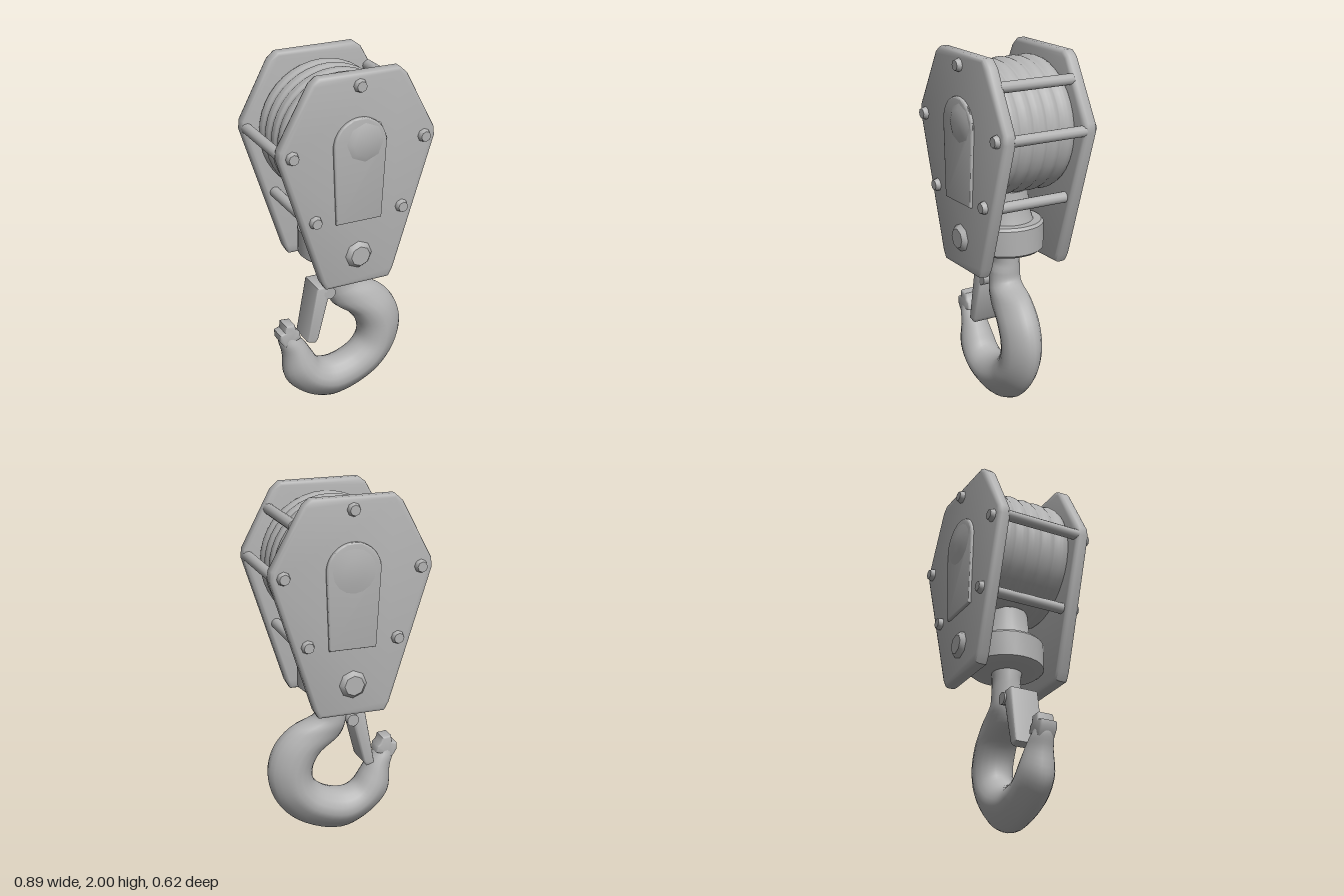
import * as THREE from 'three';
import { toCreasedNormals } from 'three/addons/utils/BufferGeometryUtils.js';

const steel = new THREE.MeshStandardMaterial({ color: 0xb2b2b2 });
steel.name = 'grey steel';

const v2 = (pts) => pts.map(([x, y]) => new THREE.Vector2(x, y));

function add(parent, name, geometry, x = 0, y = 0, z = 0) {
  const mesh = new THREE.Mesh(geometry, steel);
  mesh.name = name;
  mesh.position.set(x, y, z);
  parent.add(mesh);
}

// Bevelled slab with its total depth centred on z = 0
function slab(shape, depth, bevel) {
  const geo = new THREE.ExtrudeGeometry(shape, {
    depth: depth - 2 * bevel, bevelThickness: bevel, bevelSize: bevel,
    bevelOffset: -bevel, bevelSegments: 2, curveSegments: 12,
  });
  geo.translate(0, 0, bevel - depth / 2);
  return toCreasedNormals(geo, 0.9);
}

// Cylinder lying along z; r1 is the radius at the +z end
function rod(r1, r2, length, sides) {
  const geo = new THREE.CylinderGeometry(r1, r2, length, sides);
  geo.rotateX(Math.PI / 2);
  return toCreasedNormals(geo, 0.8);
}

// Loft through stations [innerX, innerY, outerX, outerY, halfDepth, centreZ, outerTaper]
function hookGeometry(stations, steps = 60, sides = 20) {
  const curve = (f) => new THREE.CatmullRomCurve3(stations.map(f), false, 'centripetal');
  const inner = curve((s) => new THREE.Vector3(s[0], s[1], 0));
  const outer = curve((s) => new THREE.Vector3(s[2], s[3], 0));
  const section = curve((s) => new THREE.Vector3(s[6], s[4], s[5]));
  const pos = [], index = [];
  for (let i = 0; i <= steps; i++) {
    const a = inner.getPoint(i / steps), b = outer.getPoint(i / steps), d = section.getPoint(i / steps);
    const c = a.clone().add(b).multiplyScalar(0.5), u = b.clone().sub(c);
    for (let j = 0; j < sides; j++) {
      const t = (j / sides) * Math.PI * 2, k = Math.cos(t);
      const wedge = 1 - d.x * Math.max(0, k);
      pos.push(c.x + u.x * k, c.y + u.y * k, d.z + d.y * Math.sin(t) * wedge);
    }
  }
  for (let i = 0; i < steps; i++) {
    for (let j = 0; j < sides; j++) {
      const n = (j + 1) % sides, p = i * sides, q = p + sides;
      index.push(p + j, p + n, q + n, p + j, q + n, q + j);
    }
  }
  // End caps
  const last = steps * sides;
  for (let j = 1; j < sides - 1; j++) {
    index.push(0, j + 1, j, last, last + j, last + j + 1);
  }
  const geo = new THREE.BufferGeometry();
  geo.setAttribute('position', new THREE.Float32BufferAttribute(pos, 3));
  geo.setIndex(index);
  return toCreasedNormals(geo, 1);
}

export function createModel() {
  const model = new THREE.Group();
  model.name = 'craneHookBlock';

  const plateShape = new THREE.Shape(v2([
    [-0.185, 0.823], [0.185, 0.823], [0.212, 0.87], [0.445, 1.6], [0.44, 1.65], [0.275, 1.96],
    [0.23, 2], [-0.22, 2], [-0.26, 1.97], [-0.44, 1.65], [-0.445, 1.6], [-0.212, 0.87],
  ]));
  const coverShape = new THREE.Shape();
  coverShape.moveTo(-0.135, 1.2);
  coverShape.lineTo(0.125, 1.2);
  coverShape.lineTo(0.15, 1.62);
  coverShape.absarc(0, 1.62, 0.15, 0, Math.PI, false);
  coverShape.closePath();

  // Two cheeks, each with its cover, bolts and pins; the back is turned round
  for (const side of ['front', 'back']) {
    const cheek = new THREE.Group();
    cheek.name = side + 'Cheek';
    add(cheek, 'sidePlate', slab(plateShape, 0.075, 0.02), 0, 0, 0.243);
    add(cheek, 'axleCover', slab(coverShape, 0.03, 0.008), 0, 0, 0.283);
    if (side === 'front') add(cheek, 'axleNut', rod(0.075, 0.13, 0.022, 8), 0.025, 1.635, 0.299);
    else add(cheek, 'axleBoss', rod(0.06, 0.13, 0.012, 16), 0, 1.62, 0.302);
    add(cheek, 'lowerPin', rod(0.055, 0.08, 0.03, 8), 0, 1.0, 0.292);
    for (const [x, y] of [[-0.375, 1.61], [0.375, 1.61], [-0.25, 1.235], [0.25, 1.235], [0, 1.935]]) {
      add(cheek, 'bolt', rod(0.028, 0.038, 0.03, 8), x, y, 0.292);
    }
    if (side === 'back') cheek.rotation.y = Math.PI;
    model.add(cheek);
  }

  // Spacer bars between the cheeks
  for (const [x, y] of [[-0.415, 1.61], [0.415, 1.61], [-0.265, 1.22], [0.265, 1.22], [0.295, 1.86]]) {
    add(model, 'spacerBar', rod(0.03, 0.03, 0.44, 12), x, y, 0);
  }

  // Rope-wound drum with shallow ridges
  const profile = [[0, -0.205], [0.345, -0.205]];
  for (let i = 0; i <= 40; i++) {
    profile.push([0.35 + 0.014 * Math.abs(Math.sin((i / 40) * Math.PI * 5)), -0.2 + 0.01 * i]);
  }
  profile.push([0.345, 0.205], [0, 0.205]);
  const drum = new THREE.LatheGeometry(v2(profile), 40);
  drum.rotateX(Math.PI / 2);
  add(model, 'ropeDrum', toCreasedNormals(drum, 1.2), 0, 1.585, 0);

  // Swivel crosshead with its collar
  const crosshead = new THREE.LatheGeometry(v2([
    [0, 0.895], [0.19, 0.895], [0.208, 0.91], [0.208, 1.05], [0.195, 1.065],
    [0.15, 1.065], [0.13, 1.13], [0.12, 1.24], [0, 1.24],
  ]), 28);
  add(model, 'crosshead', toCreasedNormals(crosshead, 0.7));

  // Shank and hook in one sweep, wedge-shaped along the outside of the bend
  add(model, 'hook', hookGeometry([
    [-0.07, 0.92, 0.1, 0.92, 0.085, 0.015, 0],
    [-0.07, 0.8, 0.1, 0.79, 0.085, 0.015, 0],
    [-0.065, 0.68, 0.11, 0.725, 0.09, 0.018, 0],
    [-0.035, 0.595, 0.25, 0.66, 0.1, 0.03, 0.1],
    [0.07, 0.51, 0.345, 0.55, 0.112, 0.042, 0.2],
    [0.12, 0.42, 0.382, 0.4, 0.115, 0.045, 0.3],
    [0.115, 0.34, 0.337, 0.23, 0.115, 0.045, 0.4],
    [0.05, 0.28, 0.2, 0.08, 0.115, 0.045, 0.5],
    [-0.06, 0.25, -0.045, 0, 0.115, 0.043, 0.5],
    [-0.13, 0.27, -0.22, 0.065, 0.11, 0.045, 0.4],
    [-0.175, 0.335, -0.335, 0.19, 0.1, 0.045, 0.25],
    [-0.215, 0.4, -0.35, 0.35, 0.075, 0.045, 0.1],
    [-0.26, 0.455, -0.37, 0.43, 0.055, 0.045, 0],
    [-0.275, 0.48, -0.37, 0.47, 0.045, 0.045, 0],
  ]));

  // Lug at the hook tip
  const tip = new THREE.Shape(v2([
    [-0.35, 0.41], [-0.255, 0.45], [-0.26, 0.49], [-0.28, 0.505], [-0.29, 0.54],
    [-0.345, 0.545], [-0.35, 0.505], [-0.38, 0.495], [-0.38, 0.455],
  ]));
  add(model, 'tipLug', slab(tip, 0.1, 0.012), 0, 0, 0.045);

  // Safety latch and its hinge
  const latch = new THREE.Shape(v2([
    [-0.22, 0.42], [-0.175, 0.405], [-0.155, 0.43], [-0.085, 0.7], [-0.095, 0.745], [-0.16, 0.745],
  ]));
  add(model, 'safetyLatch', slab(latch, 0.17, 0.012), 0, 0, 0.025);
  add(model, 'latchHinge', rod(0.035, 0.035, 0.18, 10), -0.085, 0.7, 0.02);

  return model;
}
